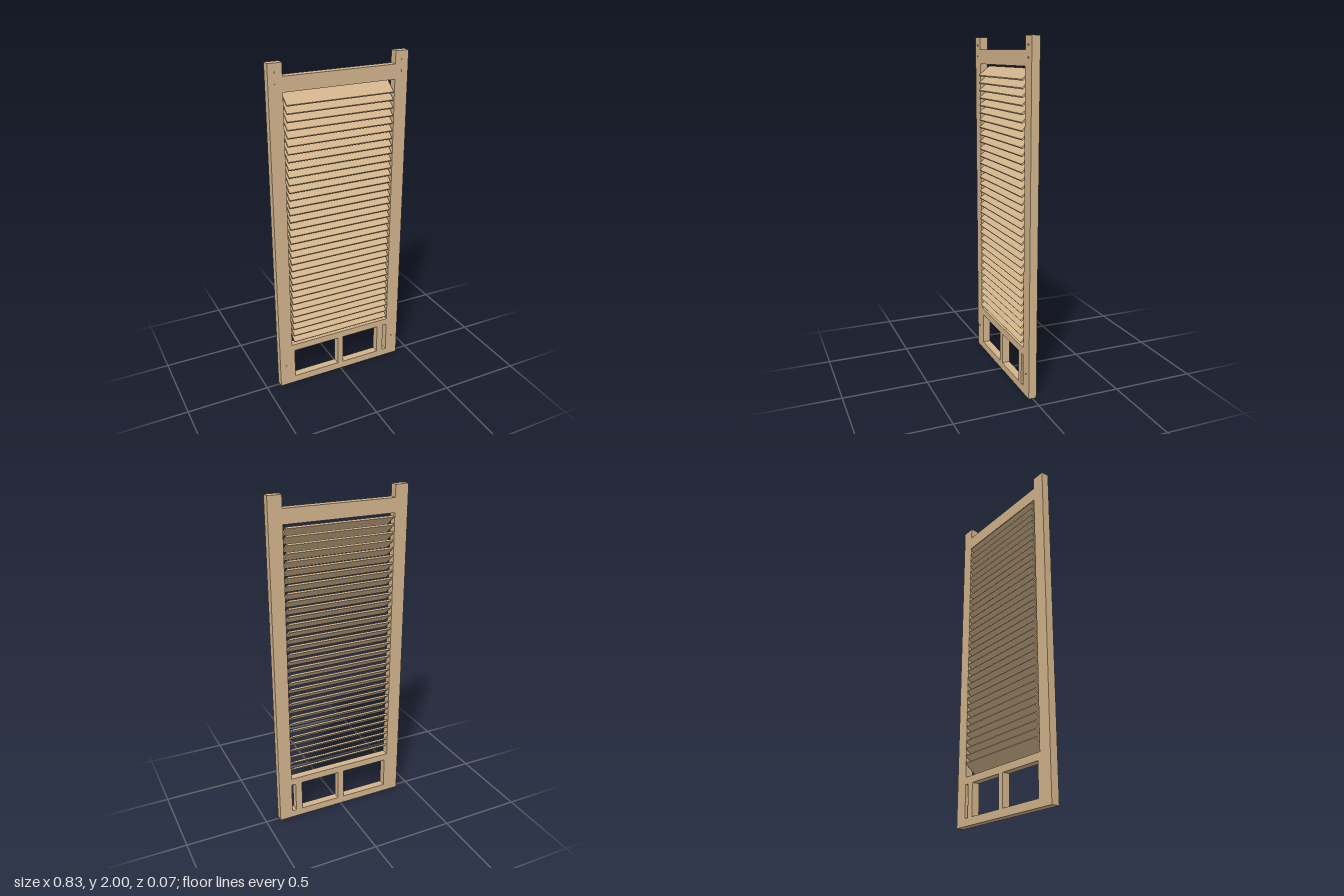
import * as THREE from 'three';

export function createModel() {
  const model = new THREE.Group();
  model.name = 'louvredShutter';
  const wood = new THREE.MeshStandardMaterial({ color: 0xd2b48c });
  wood.name = 'tan wood';

  const W = 0.414, INNER = 0.333, DEPTH = 0.047;

  // Frame: two stiles rising past the top rail, with the openings cut through
  const outline = new THREE.Shape([
    [-W, 0], [W, 0], [W, 2], [INNER, 2], [INNER, 1.929],
    [-INNER, 1.929], [-INNER, 2], [-W, 2],
  ].map(([x, y]) => new THREE.Vector2(x, y)));
  const cutOpening = (x0, x1, y0, y1) => outline.holes.push(new THREE.Path(
    [[x0, y0], [x0, y1], [x1, y1], [x1, y0]].map(([x, y]) => new THREE.Vector2(x, y))));
  cutOpening(-INNER, INNER, 0.28, 1.845);
  cutOpening(-0.316, -0.02, 0.046, 0.237);
  cutOpening(0.018, 0.265, 0.046, 0.237);
  cutOpening(0.307, INNER, 0.046, 0.237);
  const frameGeo = new THREE.ExtrudeGeometry(outline, { depth: DEPTH, bevelEnabled: false });
  frameGeo.translate(0, 0, -DEPTH / 2);
  const frame = new THREE.Mesh(frameGeo, wood);
  frame.name = 'frame';
  model.add(frame);

  // Slats: tilted down toward the front
  const slats = new THREE.Group();
  slats.name = 'slats';
  const slatGeo = new THREE.BoxGeometry(0.641, 0.0105, 0.0855);
  slatGeo.rotateX(THREE.MathUtils.degToRad(39));
  const COUNT = 34;
  for (let i = 0; i < COUNT; i++) {
    const slat = new THREE.Mesh(slatGeo, wood);
    slat.name = 'slat';
    slat.position.y = 0.334 + i * 0.0445;
    slats.add(slat);
  }
  model.add(slats);

  // Small pegs on the front of each stile
  const pegGeo = new THREE.CylinderGeometry(0.005, 0.005, 0.006, 12);
  pegGeo.rotateX(Math.PI / 2);
  for (const side of [-1, 1]) {
    for (const y of [0.139, 1.89, 1.953]) {
      const peg = new THREE.Mesh(pegGeo, wood);
      peg.name = 'peg';
      peg.position.set(side * 0.374, y, DEPTH / 2 + 0.001);
      model.add(peg);
    }
  }
  return model;
}
